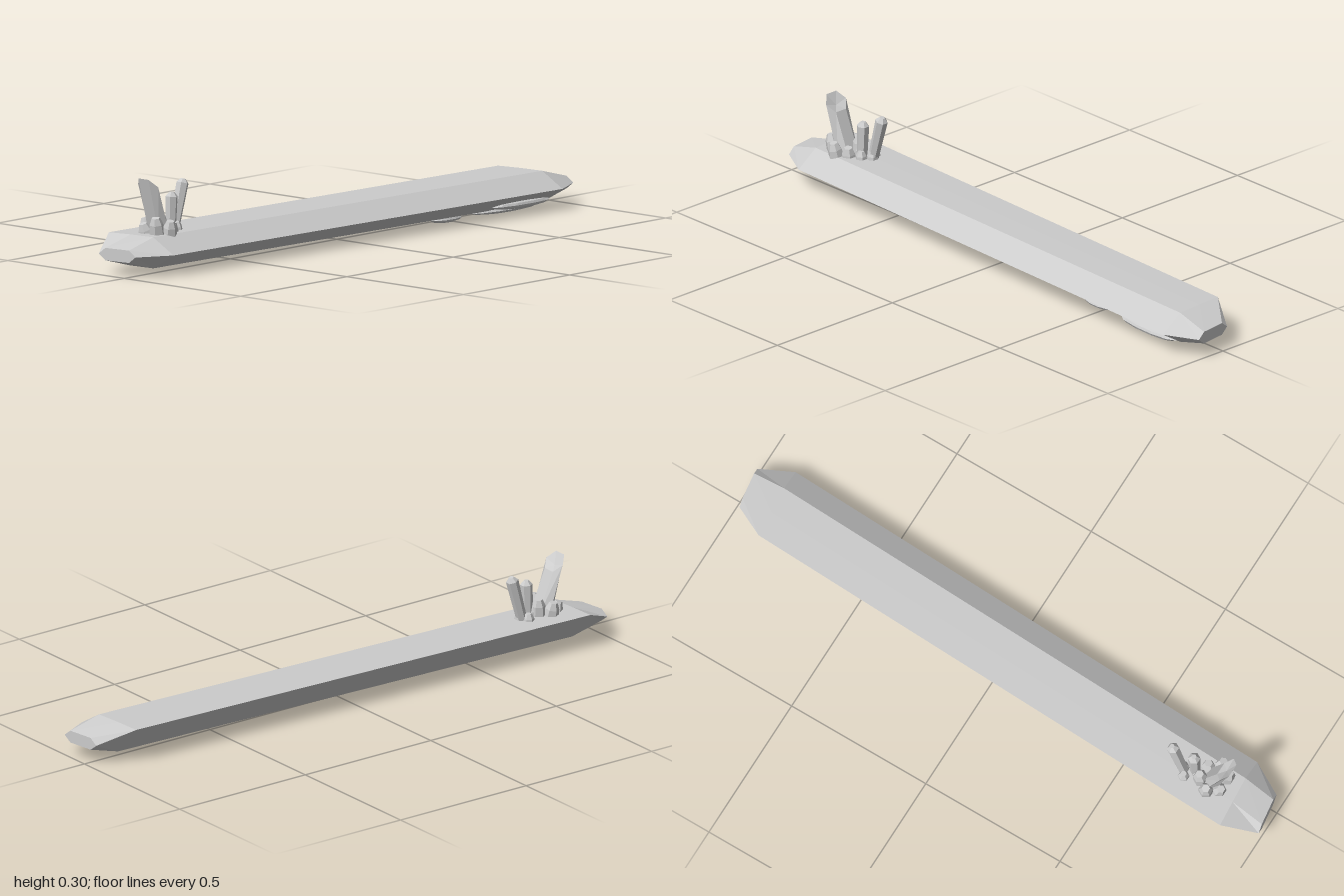
import * as THREE from 'three';

const stone = new THREE.MeshStandardMaterial({ color: 0xcccccc, flatShading: true, side: THREE.DoubleSide });

function add(parent, name, geometry) {
  const mesh = new THREE.Mesh(geometry, stone);
  mesh.name = name;
  parent.add(mesh);
  return mesh;
}

// Long faceted slab lofted through four skewed six-sided sections
function slabGeometry() {
  const body = [[0.128, 0.07], [0.047, 0.12], [-0.043, 0.12], [-0.13, 0.118], [-0.043, 0.02], [0.047, 0.02]];
  const cap = [[0.07, 0.07], [0.045, 0.09], [-0.045, 0.09], [-0.07, 0.07], [-0.045, 0.05], [0.045, 0.05]];
  const stations = [[-0.99, cap, 0.14], [-0.88, body, 0.08], [0.88, body, 0.08], [0.99, cap, 0.14]];
  const positions = [], index = [];
  for (const [x, section, skew] of stations) {
    for (const [z, y] of section) positions.push(x + skew * z, y, z + 0.037 * x - 0.003);
  }
  for (let s = 0; s < 3; s++) {
    for (let i = 0; i < 6; i++) {
      const j = (i + 1) % 6, a = s * 6, b = a + 6;
      index.push(a + i, b + i, a + j, b + i, b + j, a + j);
    }
  }
  for (let i = 1; i < 5; i++) index.push(0, i, i + 1, 18, 18 + i + 1, 18 + i);
  const geometry = new THREE.BufferGeometry();
  geometry.setAttribute('position', new THREE.Float32BufferAttribute(positions, 3));
  geometry.setIndex(index);
  const flat = geometry.toNonIndexed();
  flat.computeVertexNormals();
  return flat;
}

// Six-sided crystal running from base to tip
function crystal(parent, name, base, tip, radius, flare = 1.1, blunt = 0.5) {
  const from = new THREE.Vector3(...base), axis = new THREE.Vector3(...tip).sub(from);
  const h = axis.length();
  const profile = [[0, 0], [radius, 0], [radius * flare, h - radius * 0.8], [radius * blunt, h], [0, h]]
    .map(([r, y]) => new THREE.Vector2(r, y));
  const mesh = add(parent, name, new THREE.LatheGeometry(profile, 6));
  mesh.position.copy(from);
  mesh.quaternion.setFromUnitVectors(new THREE.Vector3(0, 1, 0), axis.normalize());
}

// Wide leaning crystal whose end is cut at a slant and slightly hollowed
function tallCrystal(parent) {
  const geometry = new THREE.CylinderGeometry(1, 1, 1, 6);
  const p = geometry.attributes.position;
  for (let i = 0; i < p.count; i++) {
    const x = p.getX(i), z = p.getZ(i), top = p.getY(i) > 0;
    const hollow = Math.hypot(x, z) < 0.1 ? 0.012 : 0;
    if (top) p.setXYZ(i, -0.84 + x * 0.026, 0.275 - x * 0.028 - hollow, -0.043 + z * 0.043);
    else p.setXYZ(i, -0.785 + x * 0.032, 0.11, -0.043 + z * 0.043);
  }
  geometry.computeVertexNormals();
  add(parent, 'tallCrystal', geometry);
}

export function createModel() {
  const model = new THREE.Group();
  model.name = 'crystalSlab';
  add(model, 'slab', slabGeometry());

  // Crystal cluster
  const cluster = new THREE.Group();
  cluster.name = 'crystalCluster';
  model.add(cluster);
  tallCrystal(cluster);
  crystal(cluster, 'middleCrystal', [-0.727, 0.11, -0.05], [-0.722, 0.24, -0.05], 0.017, 1.2);
  crystal(cluster, 'outerCrystal', [-0.695, 0.11, -0.066], [-0.65, 0.272, -0.066], 0.017, 1.2);

  // Stubby shards ringing the crystal feet
  for (let i = 0; i < 6; i++) {
    const a = (i + 0.5) * Math.PI / 3, c = Math.cos(a), s = Math.sin(a);
    const height = 0.15 + 0.012 * (i % 3);
    crystal(cluster, 'baseShard', [-0.79 + c * 0.036, 0.11, -0.043 + s * 0.044],
      [-0.795 + c * 0.046, height, -0.043 + s * 0.054], 0.027, 0.85, 0.5);
  }
  for (const [x, z, y] of [[-0.715, -0.035, 0.145], [-0.705, -0.085, 0.142], [-0.69, -0.06, 0.145], [-0.745, -0.06, 0.15]]) {
    crystal(cluster, 'smallShard', [x, 0.11, z], [x, y, z], 0.02, 0.9, 0.5);
  }

  // Flattened lumps beneath the far end
  const lumps = [
    [0.76, 0.034, 0.098, 0.13, 0.014, 0.025],
    [0.47, 0.014, 0.04, 0.068, 0.012, 0.026],
    [0.73, 0.016, 0.055, 0.15, 0.011, 0.03],
  ];
  for (const [x, y, z, rx, ry, rz] of lumps) {
    const lump = add(model, 'undersideLump', new THREE.SphereGeometry(1, 10, 6));
    lump.position.set(x, y, z);
    lump.scale.set(rx, ry, rz);
    lump.rotation.y = -0.037;
  }
  return model;
}
